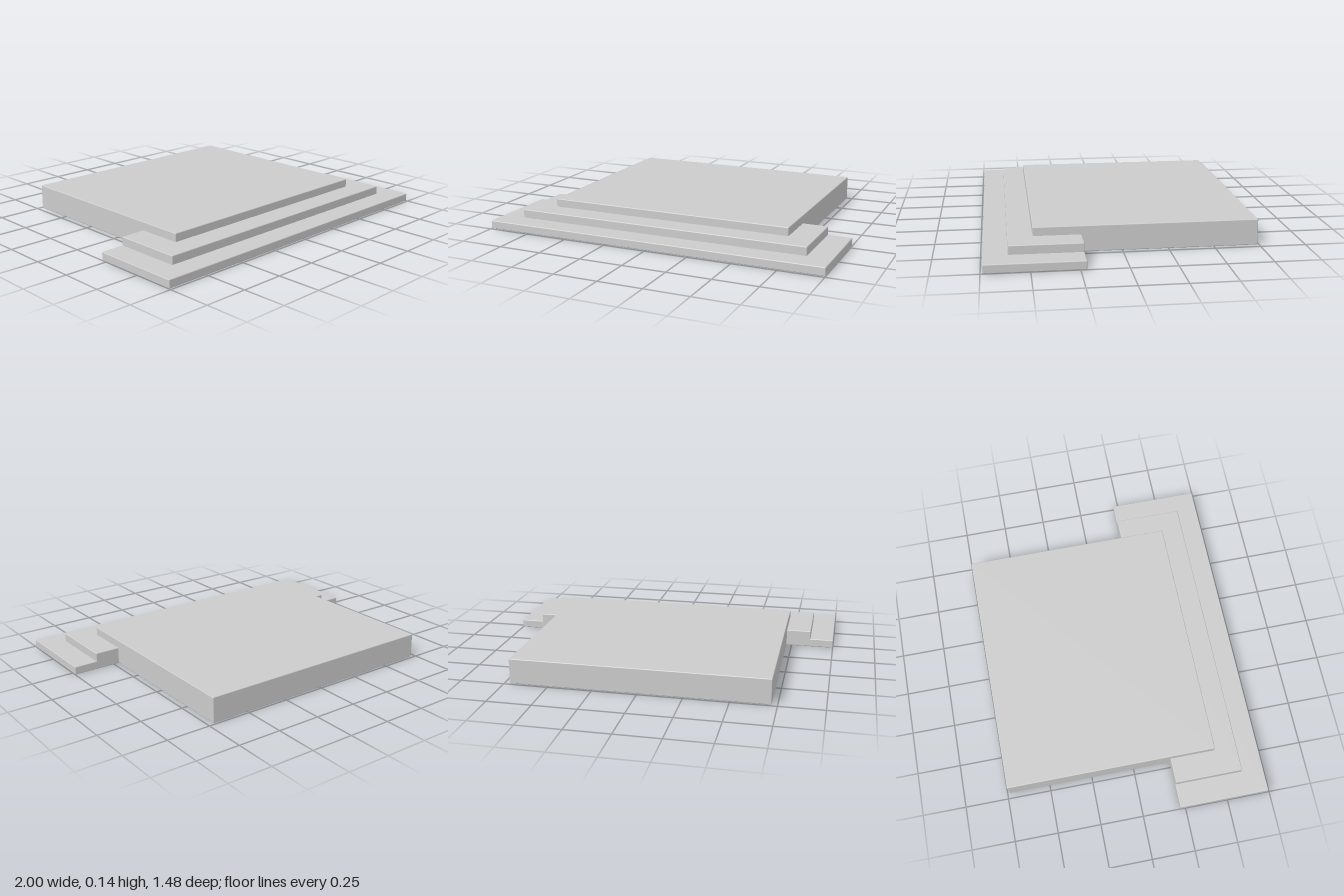
import * as THREE from 'three';
import { RoundedBoxGeometry } from 'three/addons/geometries/RoundedBoxGeometry.js';

const material = new THREE.MeshStandardMaterial({ color: 0xcccccc });
const EDGE = 0.005; // softened edge radius

// Slab centred on x, given its half width and its y and z extents
function slab(name, halfWidth, y0, y1, z0, z1) {
  const geometry = new RoundedBoxGeometry(2 * halfWidth, y1 - y0, z1 - z0, 2, EDGE);
  const mesh = new THREE.Mesh(geometry, material);
  mesh.name = name;
  mesh.position.set(0, (y0 + y1) / 2, (z0 + z1) / 2);
  return mesh;
}

export function createModel() {
  const group = new THREE.Group();
  group.name = 'steppedPlatform';

  // Two wide steps wrapping the front of the platform
  group.add(slab('lowerStep', 1, 0, 0.048, 0.217, 0.74));
  group.add(slab('middleStep', 0.863, 0.04, 0.097, 0.217, 0.61));

  // Full-height landing reaching to the back
  group.add(slab('landing', 0.719, 0, 0.145, -0.74, 0.477));

  return group;
}
